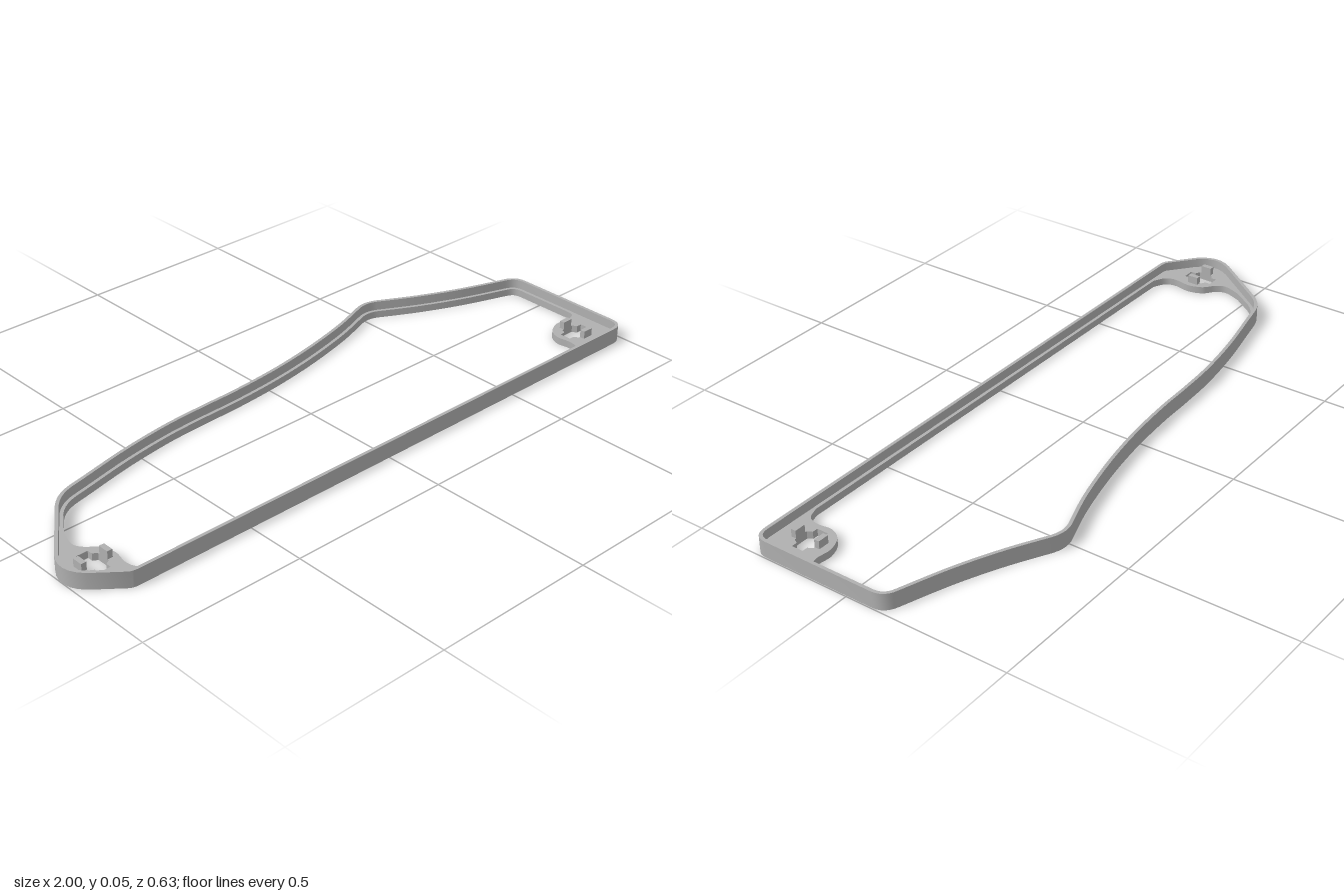
import * as THREE from 'three';
import { toCreasedNormals } from 'three/addons/utils/BufferGeometryUtils.js';

const HEIGHT = 0.05, LEDGE = 0.022;
const V = (x, z) => new THREE.Vector2(x, z);
const pairs = (list) => list.map(([x, z]) => V(x, z));

// Plan outline, drawn in x and z
function outline() {
  const s = new THREE.Shape();
  s.moveTo(-0.89, 0.31);
  s.lineTo(-0.97, 0.245);
  s.quadraticCurveTo(-1.025, 0.19, -0.98, 0.125);
  s.lineTo(-0.865, -0.03);
  s.quadraticCurveTo(-0.83, -0.085, -0.77, -0.1);
  s.splineThru(pairs([[-0.715, -0.112], [-0.556, -0.147], [-0.396, -0.171], [-0.26, -0.18],
    [-0.13, -0.185], [0.03, -0.2], [0.19, -0.227], [0.353, -0.267], [0.475, -0.309]]));
  s.quadraticCurveTo(0.515, -0.325, 0.555, -0.306);
  s.splineThru(pairs([[0.674, -0.243], [0.807, -0.185], [0.955, -0.134]]));
  s.quadraticCurveTo(0.997, -0.122, 0.997, -0.08);
  s.lineTo(0.997, 0.27);
  s.quadraticCurveTo(0.997, 0.316, 0.95, 0.316);
  s.lineTo(-0.86, 0.316);
  s.quadraticCurveTo(-0.88, 0.316, -0.89, 0.31);
  const pts = s.getPoints(6);
  return pts.filter((p, i) => p.distanceTo(pts[(i + 1) % pts.length]) > 1e-4);
}

// Moves every point inward along its mitred normal
function inset(pts, d) {
  const n = pts.length;
  return pts.map((p, i) => {
    const a = p.clone().sub(pts[(i + n - 1) % n]).normalize();
    const b = pts[(i + 1) % n].clone().sub(p).normalize();
    const normal = V(-a.y - b.y, a.x + b.x).normalize();
    const cos = Math.max(0.5, normal.dot(V(-a.y, a.x)));
    return p.clone().addScaledVector(normal, d / cos);
  });
}

function slab(pts, holes, height) {
  const shape = new THREE.Shape(pts);
  shape.holes = holes.map((h) => new THREE.Path(h));
  const g = new THREE.ExtrudeGeometry(shape, { depth: height, bevelEnabled: false });
  g.rotateX(Math.PI / 2).translate(0, height, 0);
  return toCreasedNormals(g, 0.6);
}

// Cross-shaped slot, long along z, or along x when turned
function slot(cx, cz, turned) {
  const q = [[0.018, 0.047], [0.018, 0.03], [0.032, 0.022]];
  const r = [...q].reverse();
  const flip = (list, sx, sz) => list.map(([x, z]) => [x * sx, z * sz]);
  const all = [...q, ...flip(r, 1, -1), ...flip(q, -1, -1), ...flip(r, -1, 1)];
  return all.map(([x, z]) => (turned ? V(cx + z, cz + x) : V(cx + x, cz + z)));
}

export function createModel() {
  const group = new THREE.Group();
  const grey = new THREE.MeshStandardMaterial({ color: 0xb0b0b0 });
  grey.name = 'grey plastic';
  const add = (name, geometry) => {
    const m = new THREE.Mesh(geometry, grey);
    m.name = name;
    group.add(m);
    return m;
  };

  const outer = outline();
  const wallInner = inset(outer, 0.01);
  add('outerWall', slab(outer, [wallInner], HEIGHT));

  // Opening of the lower ledge, swelling into a mounting pad at each front corner
  const rightPad = new THREE.SplineCurve(pairs([[0.977, 0.11], [0.972, 0.135], [0.945, 0.146],
    [0.896, 0.142], [0.85, 0.162], [0.829, 0.2], [0.833, 0.245], [0.822, 0.28], [0.785, 0.296]]));
  const leftPad = new THREE.SplineCurve(pairs([[-0.8, 0.296], [-0.837, 0.275], [-0.848, 0.24],
    [-0.84, 0.19], [-0.854, 0.145], [-0.885, 0.118], [-0.9, 0.085], [-0.882, 0.03]]));
  const opening = [
    ...inset(outer, 0.02).filter((p) => p.z !== 0 && p.y < 0.02),
    ...rightPad.getPoints(32),
    ...leftPad.getPoints(28),
  ];
  const mounts = [
    { name: 'left', x: -0.906, z: 0.185, turned: false },
    { name: 'right', x: 0.896, z: 0.214, turned: true },
  ];
  const slots = mounts.map((m) => slot(m.x, m.z, m.turned));
  add('ledgeAndPads', slab(inset(outer, 0.009), [opening, ...slots], LEDGE));

  // Upright tabs on either side of each slot
  for (const m of mounts) {
    for (const side of [-1, 1]) {
      const w = m.turned ? 0.034 : 0.016, d = m.turned ? 0.016 : 0.034;
      const tab = add('slotTab', new THREE.BoxGeometry(w, HEIGHT - 0.005, d));
      const off = side * 0.04;
      tab.position.set(m.x + (m.turned ? 0 : off), HEIGHT / 2 - 0.0015, m.z + (m.turned ? off : 0));
    }
  }
  return group;
}
